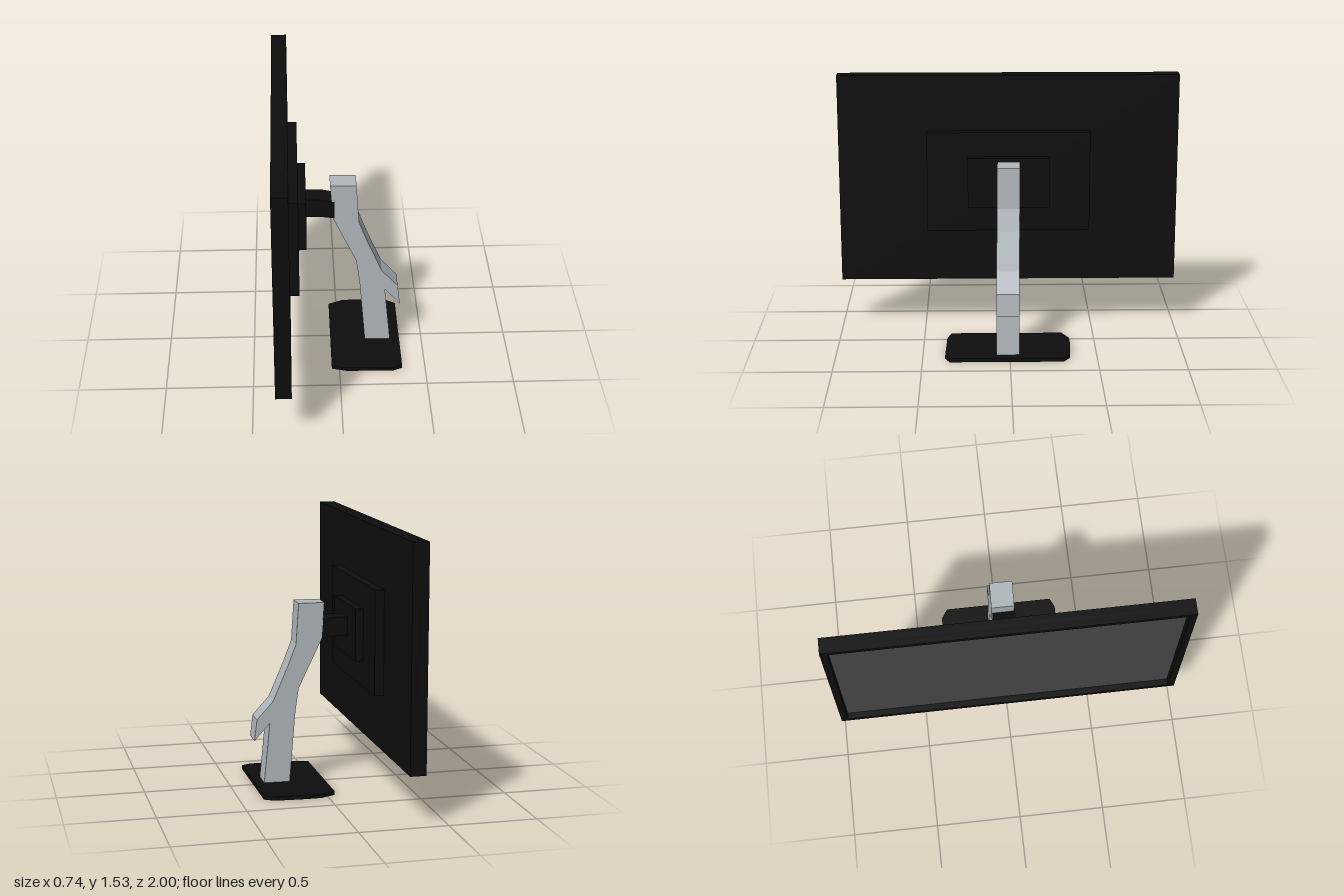
import * as THREE from 'three';

const black = new THREE.MeshStandardMaterial({ color: 0x0d0d0d, flatShading: true });
const glass = new THREE.MeshStandardMaterial({ color: 0x484848, flatShading: true });
const metal = new THREE.MeshStandardMaterial({ color: 0xb0b7bc, flatShading: true });

const shapeOf = (pts) => new THREE.Shape(pts.map(([a, b]) => new THREE.Vector2(a, b)));
const rect = (w, y0, y1) => [[-w, y0], [w, y0], [w, y1], [-w, y1]];
const extrude = (shape, depth) => new THREE.ExtrudeGeometry(shape, { depth, bevelEnabled: false });

export function createModel() {
  const model = new THREE.Group();
  const add = (name, geometry, material) => {
    const mesh = new THREE.Mesh(geometry, material);
    mesh.name = name;
    model.add(mesh);
    return mesh;
  };
  // Box given by its x range, y range and half width in z
  const slab = (name, x0, x1, y0, y1, halfZ, material) =>
    add(name, new THREE.BoxGeometry(x1 - x0, y1 - y0, 2 * halfZ), material)
      .position.set((x0 + x1) / 2, (y0 + y1) / 2, 0);

  // Display housing, with the screen recessed behind a raised bezel
  slab('housing', -0.33, -0.28, 0.285, 1.53, 1, black);
  slab('screen', -0.333, -0.329, 0.315, 1.5, 0.96, glass);
  const frame = shapeOf(rect(1, 0.285, 1.53));
  frame.holes.push(shapeOf(rect(0.96, 0.315, 1.5)));
  const bezel = add('bezel', extrude(frame, 0.04), black);
  bezel.rotation.y = -Math.PI / 2;
  bezel.position.x = -0.33;

  // Stepped plates on the rear of the housing
  slab('rearPlate', -0.28, -0.228, 0.605, 1.2, 0.48, black);
  slab('mountPlate', -0.228, -0.183, 0.755, 1.055, 0.24, black);

  // Side profile extruded across z, slightly skewed along its length
  const profilePart = (name, pts, z0, z1, material) => {
    const geometry = extrude(shapeOf(pts), z1 - z0);
    const p = geometry.attributes.position;
    for (let i = 0; i < p.count; i++) p.setZ(i, p.getZ(i) + z0 + 0.03 * p.getX(i));
    geometry.computeVertexNormals();
    add(name, geometry, material);
  };

  // Short arm joining the mount to the stand
  profilePart('mountArm', [
    [-0.183, 0.87], [-0.1, 0.87], [-0.02, 0.86], [-0.02, 0.965], [-0.1, 0.98], [-0.183, 0.98],
  ], -0.055, 0.07, black);

  // Bent stand with the rear fin
  profilePart('stand', [
    [0.16, 0.02], [0.31, 0.02], [0.275, 0.375], [0.365, 0.275], [0.35, 0.4], [0.255, 0.505],
    [0.165, 0.715], [0.12, 0.835], [0.105, 1.07], [-0.045, 1.07], [-0.03, 0.86],
    [0.105, 0.575], [0.125, 0.44],
  ], -0.062, 0.068, metal);

  // Flat foot with cut corners; outline is x and -z
  const foot = add('foot', extrude(shapeOf([
    [-0.045, -0.34], [0.04, -0.364], [0.31, -0.371], [0.365, -0.345],
    [0.365, 0.305], [0.31, 0.342], [0.13, 0.353], [0.04, 0.351], [-0.045, 0.31],
  ]), 0.022), black);
  foot.rotation.x = -Math.PI / 2;

  return model;
}
